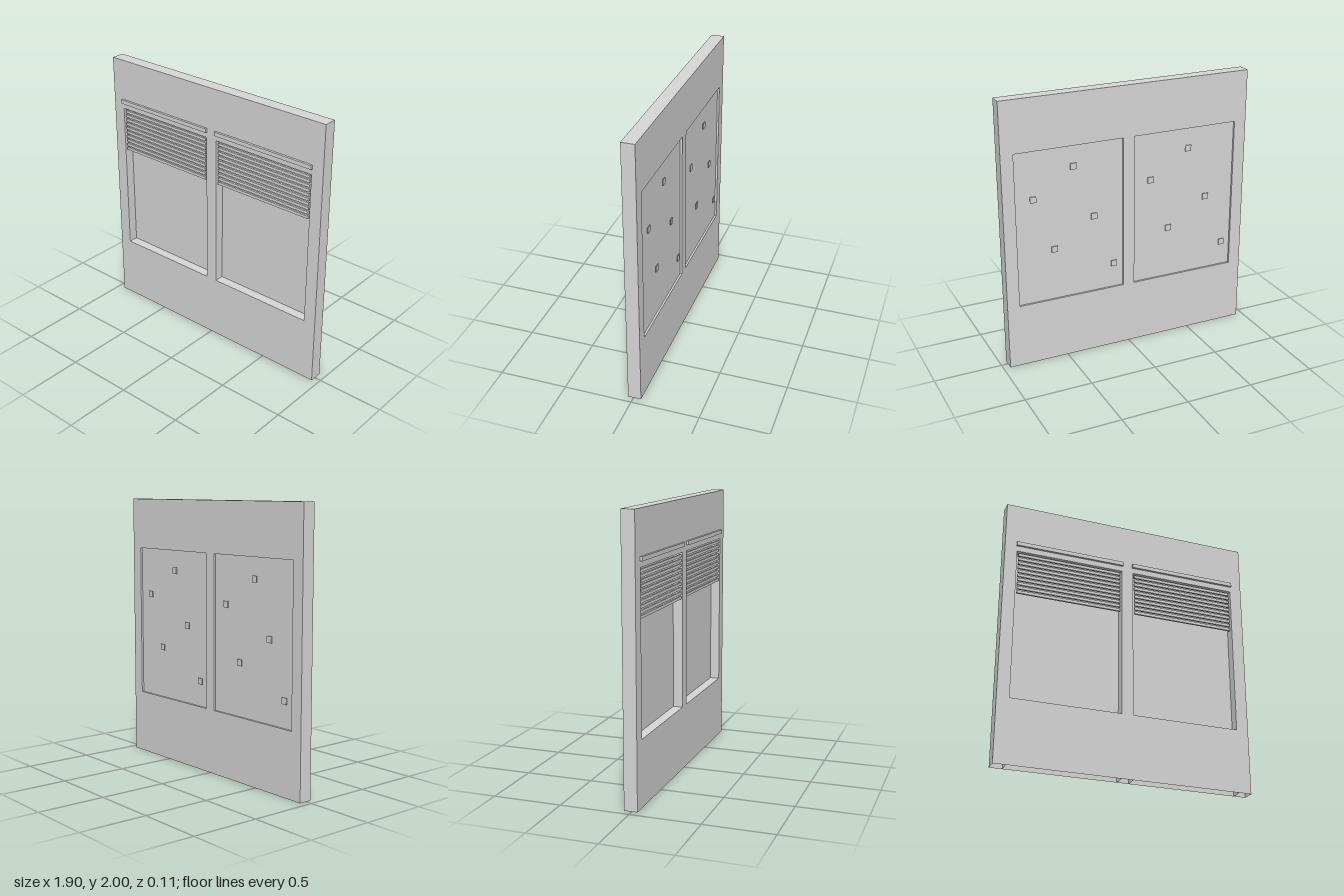
import * as THREE from 'three';

export function createModel() {
  const model = new THREE.Group();
  const grey = new THREE.MeshStandardMaterial({ color: 0xd6d6d6, side: THREE.DoubleSide });
  grey.name = 'light grey';

  const W = 0.95, H = 2, FRONT = 0.04, BACK = -0.056;
  const IN = 0.044, OUT = 0.858, SILL = 0.477, HEAD = 1.621;
  const depth = FRONT - BACK, midZ = (FRONT + BACK) / 2;
  const winW = OUT - IN, winX = (OUT + IN) / 2, winY = (SILL + HEAD) / 2;

  const add = (parent, name, geometry, x, y, z) => {
    const mesh = new THREE.Mesh(geometry, grey);
    mesh.name = name;
    mesh.position.set(x, y, z);
    parent.add(mesh);
  };
  const box = (parent, name, w, h, d, x, y, z) =>
    add(parent, name, new THREE.BoxGeometry(w, h, d), x, y, z);
  const rect = (path, x0, y0, x1, y1) =>
    path.moveTo(x0, y0).lineTo(x1, y0).lineTo(x1, y1).lineTo(x0, y1).closePath();

  // Hollow wall shell, open underneath
  const wall = new THREE.Group();
  wall.name = 'wall';
  model.add(wall);
  const face = rect(new THREE.Shape(), -W, 0, W, H);
  for (const [a, b] of [[-OUT, -IN], [IN, OUT]]) {
    face.holes.push(rect(new THREE.Path(), a, SILL, b, HEAD));
  }
  const frontFace = new THREE.ShapeGeometry(face);
  const backFace = frontFace.clone().rotateY(Math.PI); // symmetric left to right
  add(wall, 'wallFront', frontFace, 0, 0, FRONT);
  add(wall, 'wallBack', backFace, 0, 0, BACK);
  const level = (name, w, x, y, turn) =>
    add(wall, name, new THREE.PlaneGeometry(w, depth).rotateX(turn * Math.PI / 2), x, y, midZ);
  const upright = (name, x, turn) =>
    add(wall, name, new THREE.PlaneGeometry(depth, H).rotateY(turn * Math.PI / 2), x, H / 2, midZ);
  level('wallTop', 2 * W, 0, H, -1);

  // Back pads: offset across the window and height
  const pads = [[0.277, 1.27], [-0.026, 1.47], [-0.179, 1.07], [0.128, 0.87], [-0.332, 0.67]];

  for (const side of [-1, 1]) {
    // Outer side and window jambs running the full height
    upright('wallSide', side * W, side);
    upright('outerJamb', side * OUT, -side);
    upright('innerJamb', side * IN, side);

    const win = new THREE.Group();
    win.name = side > 0 ? 'leftWindow' : 'rightWindow';
    model.add(win);
    const x = side * winX;
    level('sill', winW, x, SILL, -1);
    level('head', winW, x, HEAD, 1);
    box(win, 'pane', winW, HEAD - SILL, 0.01, x, winY, -0.036);

    // Ledge above the window
    box(win, 'ledge', 0.826, 0.03, 0.017, x, 1.678, FRONT + 0.0085);

    // Partly lowered blind
    for (let i = 0; i < 10; i++) {
      box(win, 'blindSlat', 0.787, 0.021, 0.015, x, 1.597 - i * 0.0335, 0.028);
    }

    // Small thin square pads level with the back of the wall
    for (const [dx, y] of pads) {
      box(win, 'backPad', 0.046, 0.046, 0.006, x + dx, y, BACK + 0.0028);
    }
  }
  return model;
}
